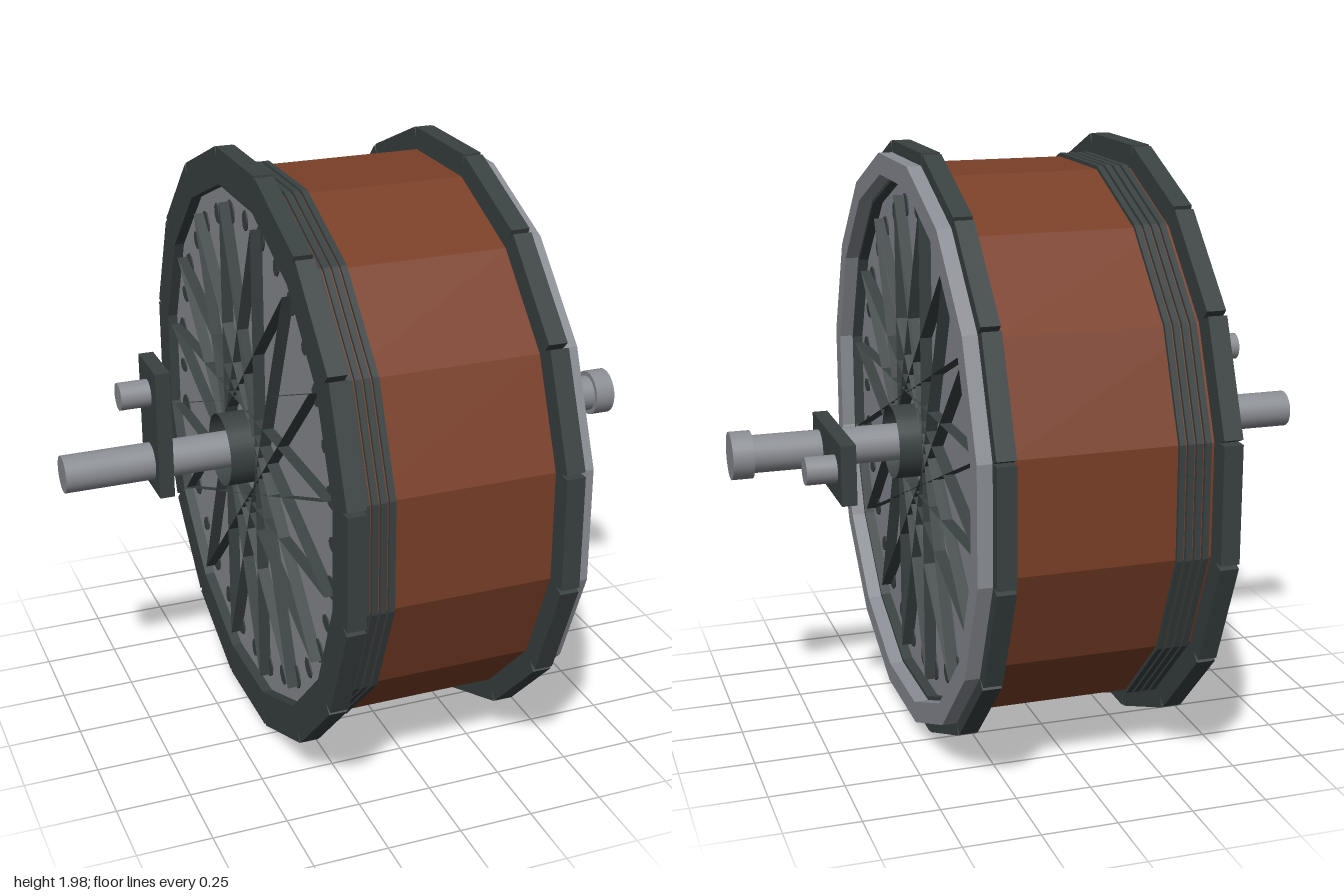
import * as THREE from 'three';

const SIDES = 16, STEP = (Math.PI * 2) / SIDES;

const mat = (name, color, side = THREE.FrontSide) => {
  const m = new THREE.MeshStandardMaterial({ color, side });
  m.name = name;
  return m;
};

// corner points of a polygon whose flats are `apothem` away from the centre
function polygon(apothem) {
  const r = apothem / Math.cos(STEP / 2);
  return Array.from({ length: SIDES }, (_, i) => {
    const a = (i + 0.5) * STEP;
    return new THREE.Vector2(Math.cos(a) * r, Math.sin(a) * r);
  });
}

// sixteen-sided prism or ring between two stations on the axle
function prism(apothem, z0, z1, inner = 0) {
  const shape = new THREE.Shape(polygon(apothem));
  if (inner) shape.holes.push(new THREE.Path(polygon(inner)));
  return new THREE.ExtrudeGeometry(shape, { depth: z1 - z0, bevelEnabled: false }).translate(0, 0, z0);
}

// round bar along the axle direction
function bar(r, z0, z1, x = 0, y = 0, open = false) {
  return new THREE.CylinderGeometry(r, r, z1 - z0, 24, 1, open)
    .rotateX(Math.PI / 2).translate(x, y, (z0 + z1) / 2);
}

export function createModel() {
  const brown = mat('brown drum', 0x7a3f28);
  const steel = mat('steel grey', 0x8a8d93);
  const dark = mat('dark iron', 0x3a4141);
  const darkThin = dark.clone();
  darkThin.side = THREE.DoubleSide;

  // everything is built around a local z axle, then turned onto x
  const wheel = new THREE.Group();
  wheel.name = 'drumAssembly';
  wheel.rotation.y = Math.PI / 2;
  wheel.position.y = 0.99;

  const add = (name, geometry, material, parent = wheel) => {
    const mesh = new THREE.Mesh(geometry, material);
    mesh.name = name;
    parent.add(mesh);
    return mesh;
  };

  // drum shell and wound bands
  add('drum', prism(0.915, -0.33, 0.33), brown);
  for (let i = 0; i < 4; i++) {
    const z = -0.3 + i * 0.028;
    add('band', prism(0.927, z - 0.01, z + 0.01), dark);
  }

  for (const side of [-1, 1]) {
    const end = new THREE.Group();
    end.name = side > 0 ? 'leftEnd' : 'rightEnd';
    wheel.add(end);
    const face = 0.35 * side;

    // end disc
    add('endDisc', prism(0.88, Math.min(face, 0.32 * side), Math.max(face, 0.32 * side)), steel, end);

    // flange of separate blocks
    for (let i = 0; i < SIDES; i++) {
      const block = add('flangeBlock', new THREE.BoxGeometry(0.122, 0.378, 0.062), dark, end);
      const a = i * STEP;
      block.position.set(Math.cos(a) * 0.929, Math.sin(a) * 0.929, 0.354 * side);
      block.rotation.z = a;
    }

    // thin upright spokes, each passing beside the hub from corner to corner
    const corners = polygon(0.81);
    for (let i = 0; i < SIDES; i++) {
      const p = corners[i], q = corners[(i + 7) % SIDES];
      const spoke = add('spoke', new THREE.PlaneGeometry(p.distanceTo(q), 0.04).rotateX(Math.PI / 2), darkThin, end);
      spoke.position.set((p.x + q.x) / 2, (p.y + q.y) / 2, face + 0.02 * side);
      spoke.rotation.z = Math.atan2(q.y - p.y, q.x - p.x);
    }

    // rivets between the spokes and anchor plates at the spoke ends
    for (let i = 0; i < SIDES * 2; i++) {
      const a = (i * STEP) / 2;
      const anchor = i % 2 === 1;
      const plate = new THREE.CylinderGeometry(1, 1, 0.006, 8).rotateX(Math.PI / 2)
        .scale(anchor ? 0.042 : 0.035, anchor ? 0.038 : 0.025, 1);
      const rivet = add(anchor ? 'spokeAnchor' : 'rivet', plate, dark, end);
      rivet.position.set(Math.cos(a) * 0.79, Math.sin(a) * 0.79, face + 0.002 * side);
      rivet.rotation.z = a;
    }

    // open hub sleeve
    const tip = (side > 0 ? 0.455 : 0.46) * side;
    add('hubSleeve', bar(0.124, Math.min(face, tip), Math.max(face, tip), 0, 0, true), darkThin, end);
  }

  // steel rim on one side only
  add('steelRim', prism(0.95, 0.384, 0.433, 0.88), steel);

  // axle with end knob
  add('axle', bar(0.063, -1, 0.99), steel);
  add('axleKnob', bar(0.08, 0.93, 1), steel);

  // cranks a quarter turn apart
  add('leftCrank', new THREE.BoxGeometry(0.44, 0.2, 0.05).translate(0.12, 0, 0.675), dark);
  add('leftCrankPin', bar(0.046, 0.7, 0.8, 0.245, 0), steel);
  add('rightCrank', new THREE.BoxGeometry(0.2, 0.44, 0.05).translate(0, 0.125, -0.675), dark);
  add('rightCrankPin', bar(0.046, -0.8, -0.7, 0, 0.245), steel);

  const model = new THREE.Group();
  model.name = 'drumWheel';
  model.add(wheel);
  return model;
}
